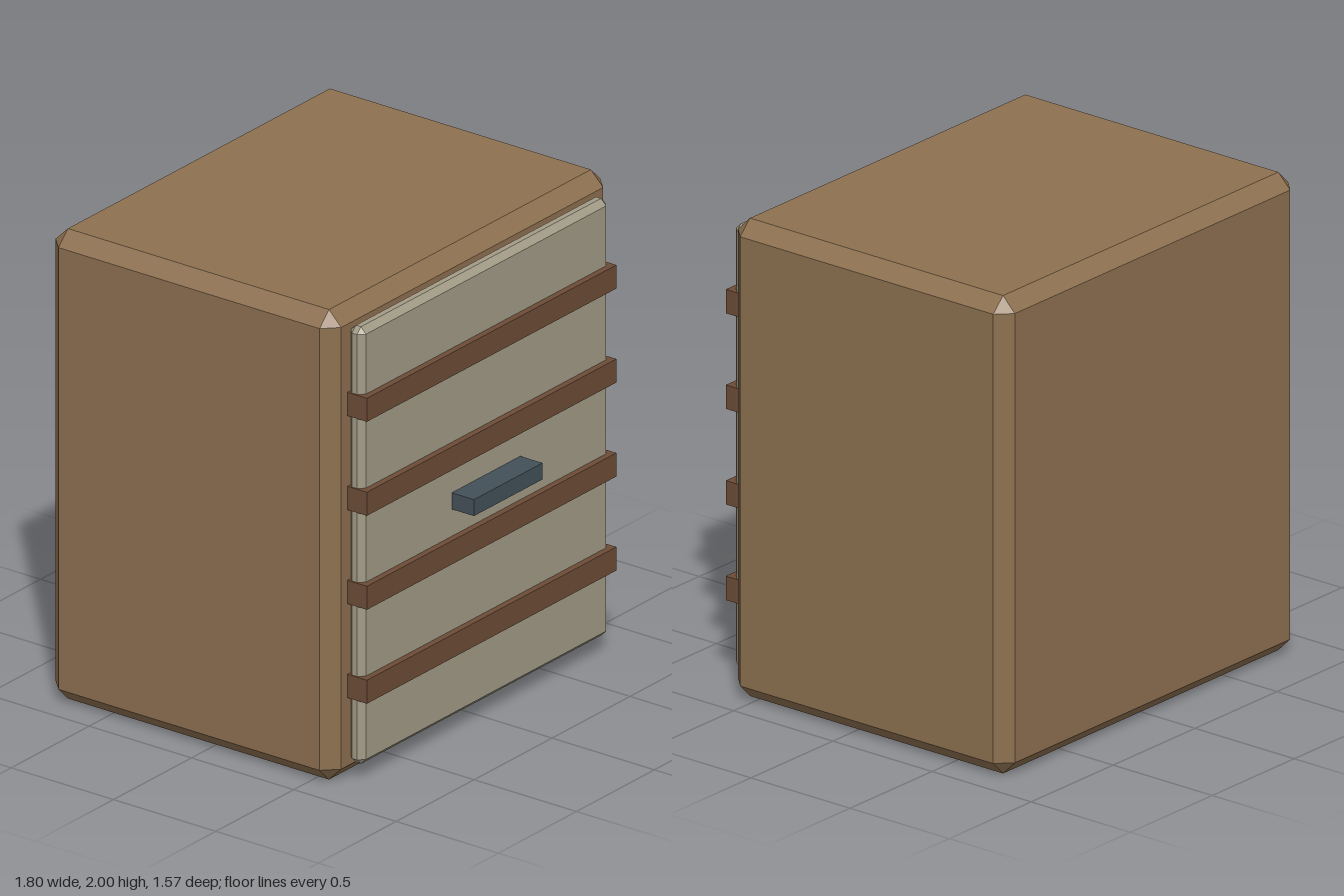
import * as THREE from 'three';
import { ConvexGeometry } from 'three/addons/geometries/ConvexGeometry.js';

const material = (color) => new THREE.MeshStandardMaterial({ color, flatShading: true });

// Box with every edge cut at 45 degrees and a triangle at each corner
function chamferedBox(w, h, d, c) {
  const points = [];
  for (const sx of [-1, 1]) for (const sy of [-1, 1]) for (const sz of [-1, 1]) {
    for (let axis = 0; axis < 3; axis++) {
      const [x, y, z] = [w, h, d].map((size, i) => size / 2 - (i === axis ? 0 : c));
      points.push(new THREE.Vector3(sx * x, sy * y, sz * z));
    }
  }
  return new ConvexGeometry(points);
}

export function createModel() {
  const group = new THREE.Group();
  const wood = material(0x8d7050);
  const panel = material(0xa29b86);
  const darkWood = material(0x6d4c36);
  const metal = material(0x435058);

  const add = (name, geometry, mat, x, y, z) => {
    const mesh = new THREE.Mesh(geometry, mat);
    mesh.name = name;
    mesh.position.set(x, y, z);
    group.add(mesh);
  };

  // Cabinet body
  add('body', chamferedBox(1.8, 2, 1.396, 0.06), wood, 0, 1, -0.088);

  // Front door panel
  add('door', chamferedBox(1.59, 1.86, 0.075, 0.025), panel, 0, 1, 0.6405);

  // Horizontal slats across the door
  const slat = new THREE.BoxGeometry(1.6, 0.1, 0.1);
  for (let i = 0; i < 4; i++) add(`slat${i + 1}`, slat, darkWood, 0, 0.4 + i * 0.4, 0.655);

  // Door handle
  add('handle', new THREE.BoxGeometry(0.44, 0.07, 0.11), metal, 0, 1, 0.731);

  return group;
}
